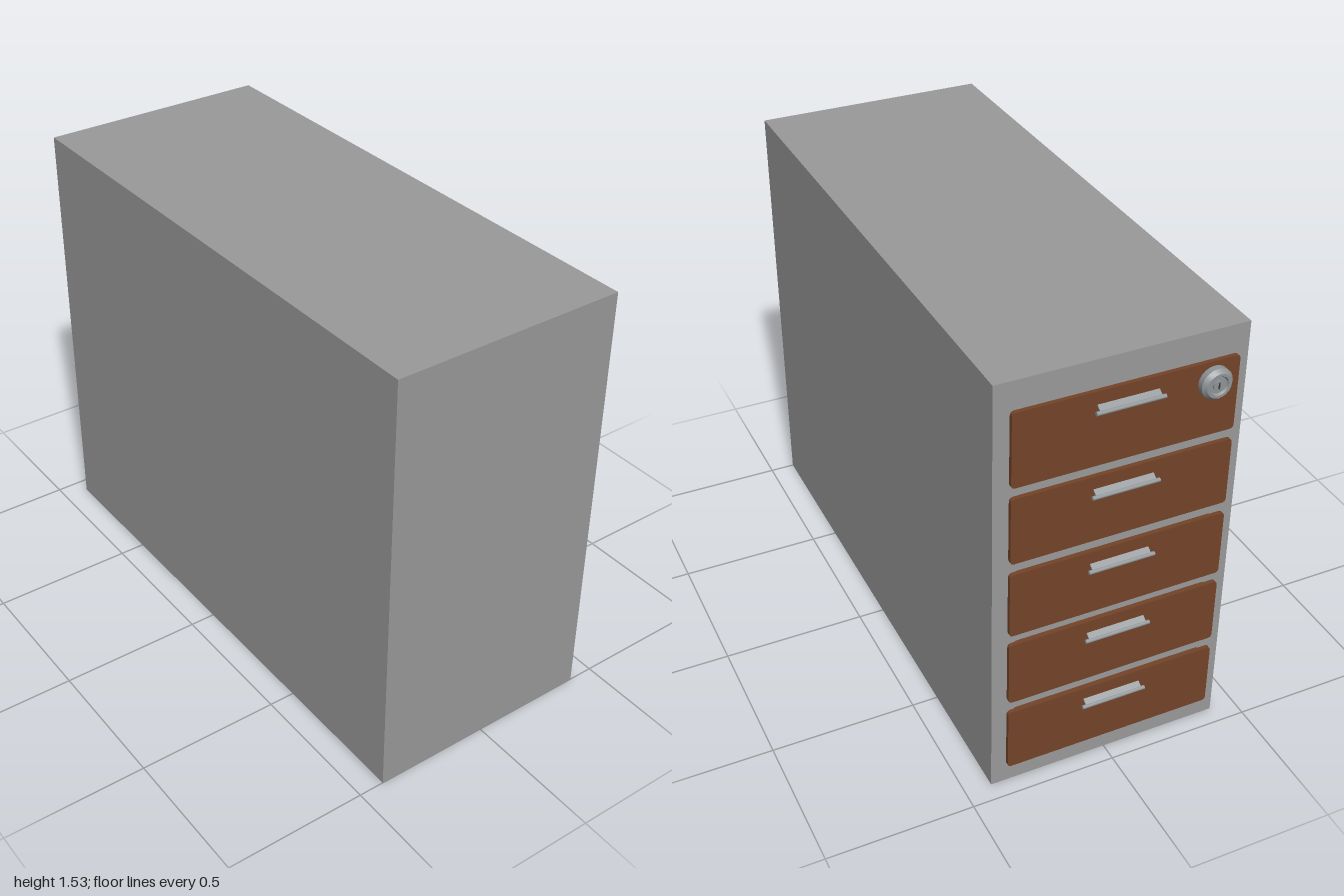
import * as THREE from 'three';
import { toCreasedNormals } from 'three/addons/utils/BufferGeometryUtils.js';

const BACK = -0.938;   // cabinet face that carries the drawers
const FACE = -0.967;   // outer face of the drawer fronts

function material(name, color) {
  const m = new THREE.MeshStandardMaterial({ color });
  m.name = name;
  return m;
}

function mesh(name, geometry, mat, parent) {
  const m = new THREE.Mesh(geometry, mat);
  m.name = name;
  parent.add(m);
  return m;
}

// Board with slightly rounded corners, centred in x and y, between two depths
function board(w, h, r, zNear, zFar) {
  const s = new THREE.Shape();
  const x = w / 2, y = h / 2;
  s.moveTo(-x + r, -y);
  s.lineTo(x - r, -y);
  s.quadraticCurveTo(x, -y, x, -y + r);
  s.lineTo(x, y - r);
  s.quadraticCurveTo(x, y, x - r, y);
  s.lineTo(-x + r, y);
  s.quadraticCurveTo(-x, y, -x, y - r);
  s.lineTo(-x, -y + r);
  s.quadraticCurveTo(-x, -y, -x + r, -y);
  const g = new THREE.ExtrudeGeometry(s, { depth: zNear - zFar, bevelEnabled: false, curveSegments: 4 });
  return g.translate(0, 0, zFar);
}

// Angled strip with a round bar along its outer edge
function makeHandle(mat) {
  const handle = new THREE.Group();
  handle.name = 'handle';
  const strip = mesh('handleStrip', new THREE.BoxGeometry(0.2, 0.005, 0.026), mat, handle);
  strip.position.set(0, 0.005, -0.009);
  strip.rotation.x = -0.6;
  const bar = mesh('handleBar', new THREE.CylinderGeometry(0.007, 0.007, 0.224, 12), mat, handle);
  bar.rotation.z = Math.PI / 2;
  bar.position.set(0, -0.004, -0.017);
  return handle;
}

// Chamfered round lock with a sunken face, a plug and a key slot
function makeLock(metal, dark) {
  const lock = new THREE.Group();
  lock.name = 'lock';
  const profile = [[0.052, 0], [0.052, 0.02], [0.041, 0.033], [0.032, 0.033], [0.028, 0.026], [0, 0.026]]
    .map(([r, y]) => new THREE.Vector2(r, y));
  const housing = toCreasedNormals(new THREE.LatheGeometry(profile, 20), 0.5);
  mesh('lockHousing', housing, metal, lock);
  mesh('lockPlug', new THREE.CylinderGeometry(0.018, 0.018, 0.006, 20), metal, lock).position.y = 0.028;
  mesh('keySlot', new THREE.BoxGeometry(0.005, 0.002, 0.022), dark, lock).position.y = 0.0312;
  lock.rotation.x = -Math.PI / 2;
  return lock;
}

export function createModel() {
  const model = new THREE.Group();
  model.name = 'drawerCabinet';
  const grey = material('cabinetGrey', 0x999999);
  const wood = material('brownWood', 0x734428);
  const metal = material('metal', 0x8f9497);
  const dark = material('darkSlot', 0x3a3c3e);

  // Cabinet body
  const body = mesh('cabinetBody', new THREE.BoxGeometry(0.82, 1.53, 1 - BACK), grey, model);
  body.position.set(0, 0.765, (1 + BACK) / 2);

  // Drawers: bottom edge, top edge
  const drawers = [[0.087, 0.321], [0.364, 0.599], [0.637, 0.873], [0.914, 1.15], [1.188, 1.444]];
  for (const [bottom, top] of drawers) {
    const drawer = new THREE.Group();
    drawer.name = 'drawer';
    const h = top - bottom;
    drawer.position.y = (top + bottom) / 2;
    mesh('drawerBacking', board(0.665, h - 0.024, 0.005, BACK, -0.954), wood, drawer);
    mesh('drawerFront', board(0.73, h, 0.014, -0.953, FACE), wood, drawer);
    const handle = makeHandle(metal);
    handle.position.set(0, h / 2 - 0.058, FACE);
    drawer.add(handle);
    model.add(drawer);
  }

  // Lock on the top drawer
  const lock = makeLock(metal, dark);
  lock.position.set(-0.28, 1.377, FACE);
  model.add(lock);
  return model;
}
